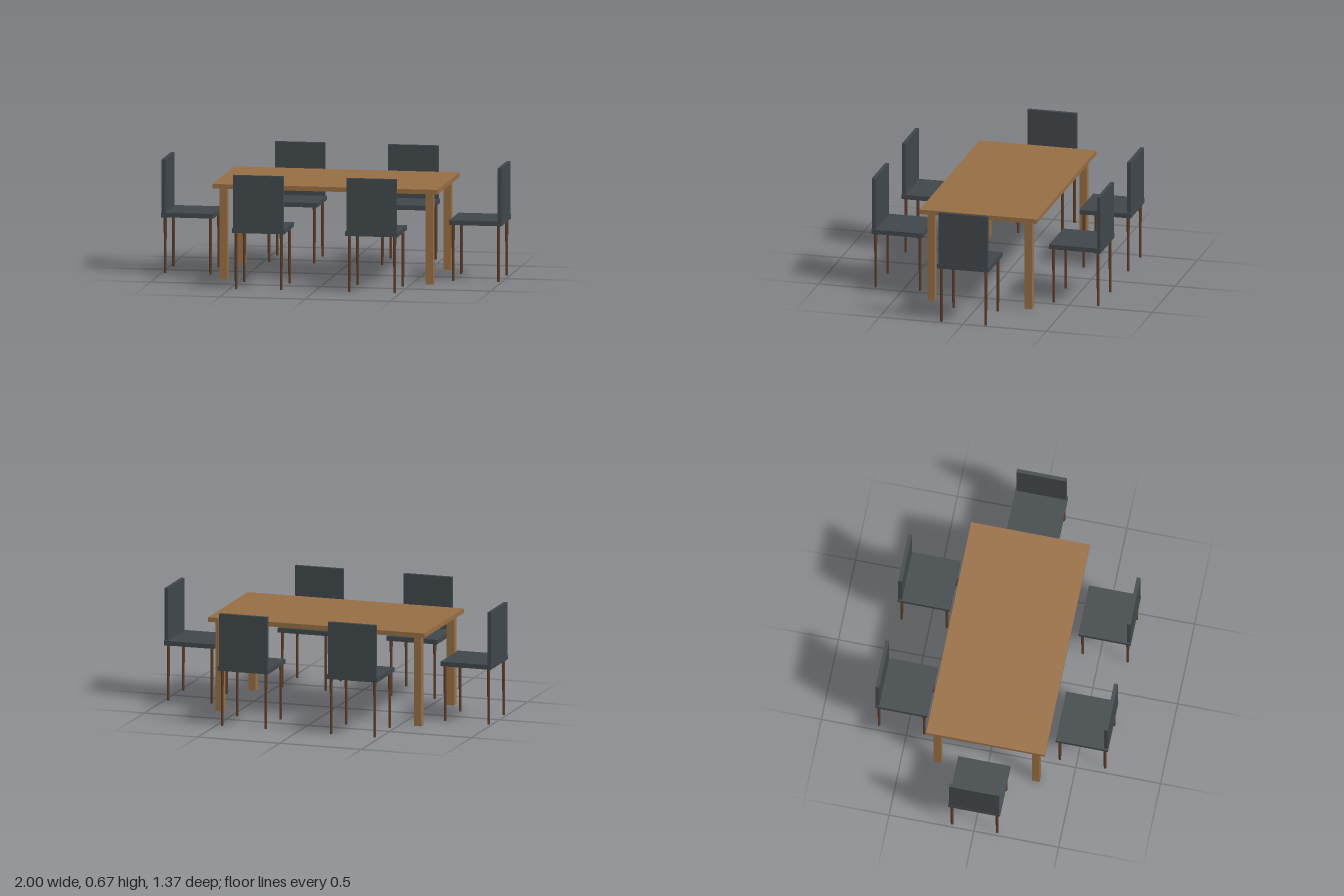
import * as THREE from 'three';

const wood = new THREE.MeshStandardMaterial({ name: 'table wood', color: 0x966d43 });
const charcoal = new THREE.MeshStandardMaterial({ name: 'charcoal seat', color: 0x40464a });
const darkWood = new THREE.MeshStandardMaterial({ name: 'dark leg wood', color: 0x5a3d28 });

function box(name, material, size, position) {
  const mesh = new THREE.Mesh(new THREE.BoxGeometry(...size), material);
  mesh.name = name;
  mesh.position.set(...position);
  return mesh;
}

// Calls place(sx, sz) for each of the four corners
function corners(place) {
  for (const sx of [-1, 1]) for (const sz of [-1, 1]) place(sx, sz);
}

function createTable() {
  const table = new THREE.Group();
  table.name = 'table';
  table.add(box('tableTop', wood, [1.322, 0.027, 0.7], [0, 0.547, 0]));
  corners((sx, sz) => table.add(
    box('tableLeg', wood, [0.044, 0.534, 0.044], [sx * 0.606, 0.267, sz * 0.291])));
  return table;
}

// Chair with its backrest on the +z side, centred on its seat
function createChair() {
  const chair = new THREE.Group();
  chair.name = 'chair';
  chair.add(box('seat', charcoal, [0.308, 0.027, 0.308], [0, 0.3415, 0]));
  chair.add(box('backrest', charcoal, [0.294, 0.31, 0.022], [0, 0.51, 0.141]));
  // Slim tapered legs
  const legGeometry = new THREE.CylinderGeometry(0.0095, 0.0075, 0.328, 8);
  corners((sx, sz) => {
    const leg = new THREE.Mesh(legGeometry, darkWood);
    leg.name = 'chairLeg';
    leg.position.set(sx * 0.133, 0.164, sz * 0.133);
    chair.add(leg);
  });
  return chair;
}

export function createModel() {
  const model = new THREE.Group();
  model.name = 'diningSet';
  model.add(createTable());

  // Two chairs on each long side, one at each end: x, z, turn
  const places = [
    [-0.333, 0.533, 0], [0.333, 0.533, 0],
    [-0.333, -0.533, Math.PI], [0.333, -0.533, Math.PI],
    [0.846, 0, Math.PI / 2], [-0.846, 0, -Math.PI / 2],
  ];
  for (const [x, z, turn] of places) {
    const chair = createChair();
    chair.position.set(x, 0, z);
    chair.rotation.y = turn;
    model.add(chair);
  }
  return model;
}
